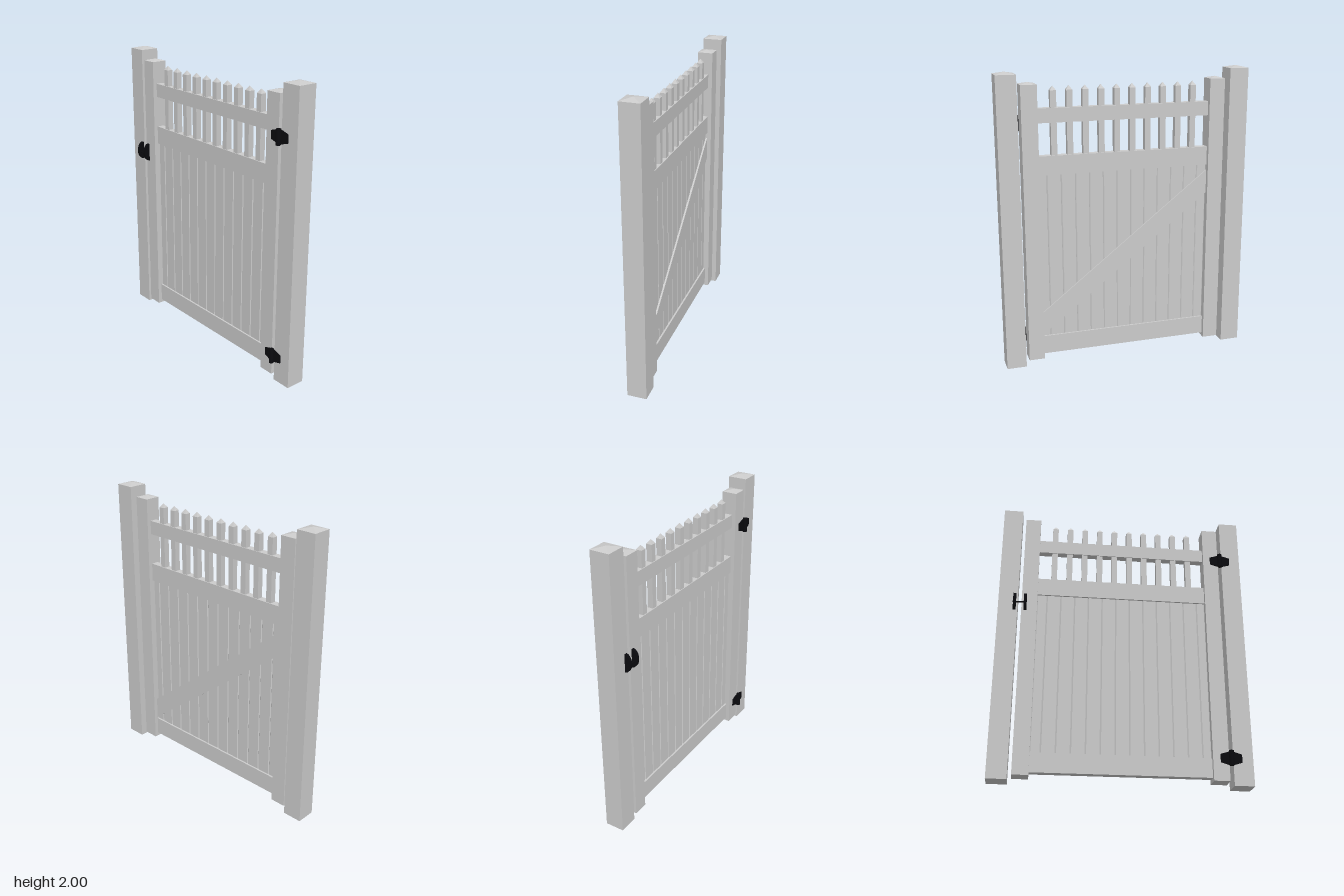
import * as THREE from 'three';

const grey = new THREE.MeshStandardMaterial({ color: 0xcccccc, flatShading: true });
const black = new THREE.MeshStandardMaterial({ color: 0x0a0a0e });
const FRONT = 0.046; // front plane of the posts
const MID = -0.008; // middle plane of the gate leaf

function add(parent, name, geometry, material, x = 0, y = 0, z = 0) {
  const mesh = new THREE.Mesh(geometry, material);
  mesh.name = name;
  mesh.position.set(x, y, z);
  parent.add(mesh);
  return mesh;
}

function box(parent, name, x0, x1, y0, y1, z0, z1) {
  return add(parent, name, new THREE.BoxGeometry(x1 - x0, y1 - y0, z1 - z0), grey,
    (x0 + x1) / 2, (y0 + y1) / 2, (z0 + z1) / 2);
}

// Square upright with a four-sided pointed top
function pointedPost(parent, name, x, z, width, y0, y1, tip) {
  const post = new THREE.Group();
  post.name = name;
  const h = width / 2;
  box(post, 'shaft', x - h, x + h, y0, y1, z - h, z + h);
  const cap = new THREE.ConeGeometry(width * Math.SQRT1_2, tip, 4, 1, true).rotateY(Math.PI / 4);
  add(post, 'cap', cap, grey, x, y1 + tip / 2, z);
  parent.add(post);
}

// Vertical board with chamfered edges, so that neighbours form V grooves
function plank(parent, x0, x1, y0, y1) {
  const c = 0.005, t = 0.014;
  const shape = new THREE.Shape([
    [x0, -t + c], [x0 + c, -t], [x1 - c, -t], [x1, -t + c],
    [x1, t - c], [x1 - c, t], [x0 + c, t], [x0, t - c],
  ].map(([x, y]) => new THREE.Vector2(x, y)));
  const geometry = new THREE.ExtrudeGeometry(shape, { depth: y1 - y0, bevelEnabled: false });
  geometry.rotateX(-Math.PI / 2);
  add(parent, 'plank', geometry, grey, 0, y0, MID);
}

function hinge(parent, y) {
  const group = new THREE.Group();
  group.name = 'hinge';
  group.position.set(0.711, y, FRONT);
  // Two tapered leaves in one plate
  const outline = new THREE.Shape([
    [-0.07, -0.027], [-0.018, -0.043], [0.018, -0.043], [0.072, -0.027],
    [0.072, 0.027], [0.018, 0.043], [-0.018, 0.043], [-0.07, 0.027],
  ].map(([px, py]) => new THREE.Vector2(px, py)));
  add(group, 'leaves', new THREE.ExtrudeGeometry(outline, { depth: 0.007, bevelEnabled: false }), black);
  add(group, 'barrel', new THREE.CylinderGeometry(0.016, 0.016, 0.1, 20), black, 0, 0, 0.014);
  parent.add(group);
}

function latch(parent) {
  const group = new THREE.Group();
  group.name = 'latch';
  // Half-oval cheeks on the two posts
  const cheek = new THREE.Shape();
  cheek.absellipse(0, 0, 0.041, 0.063, -Math.PI / 2, Math.PI / 2, false);
  const geometry = new THREE.ExtrudeGeometry(cheek, { depth: 0.02, bevelEnabled: false, curveSegments: 20 });
  geometry.rotateY(-Math.PI / 2).translate(0.01, 0, 0);
  for (const x of [-0.746, -0.673]) add(group, 'cheek', geometry, black, x, 1.245, FRONT);
  // Bar bridging the gap
  const bar = new THREE.CylinderGeometry(0.005, 0.005, 0.096, 12).rotateZ(Math.PI / 2);
  add(group, 'bar', bar, black, -0.712, 1.233, 0.067);
  parent.add(group);
}

export function createModel() {
  const model = new THREE.Group();
  model.name = 'gate';

  // Fixed posts and gate stiles
  for (const s of [-1, 1]) {
    pointedPost(model, 'outerPost', s * 0.791, -0.0205, 0.133, 0, 1.985, 0.015);
    pointedPost(model, 'gateStile', s * 0.645, -0.008, 0.107, 0.03, 1.917, 0.013);
  }

  // Horizontal rails
  const rails = { bottomRail: [0.055, 0.185], middleRail: [1.323, 1.45], topRail: [1.667, 1.762] };
  for (const [name, [y0, y1]] of Object.entries(rails)) {
    box(model, name, -0.594, 0.594, y0, y1, -0.034, 0.018);
  }

  // Boarded panel
  const edges = [-0.592];
  for (let i = 0; i < 12; i++) edges.push(-0.524 + i * 0.0962);
  edges.push(0.592);
  for (let i = 0; i + 1 < edges.length; i++) plank(model, edges[i], edges[i + 1], 0.18, 1.33);

  // Diagonal brace on the back
  const brace = new THREE.Shape([
    new THREE.Vector2(-0.592, 1.125), new THREE.Vector2(0.592, 0.195),
    new THREE.Vector2(0.592, 0.355), new THREE.Vector2(-0.592, 1.285),
  ]);
  add(model, 'brace', new THREE.ExtrudeGeometry(brace, { depth: 0.014, bevelEnabled: false }), grey, 0, 0, -0.034);

  // Pointed pickets
  for (let i = 0; i < 10; i++) {
    pointedPost(model, 'picket', -0.482 + i * 0.1071, MID, 0.04, 1.44, 1.874, 0.028);
  }

  // Black hardware
  hinge(model, 1.66);
  hinge(model, 0.18);
  latch(model);
  return model;
}
